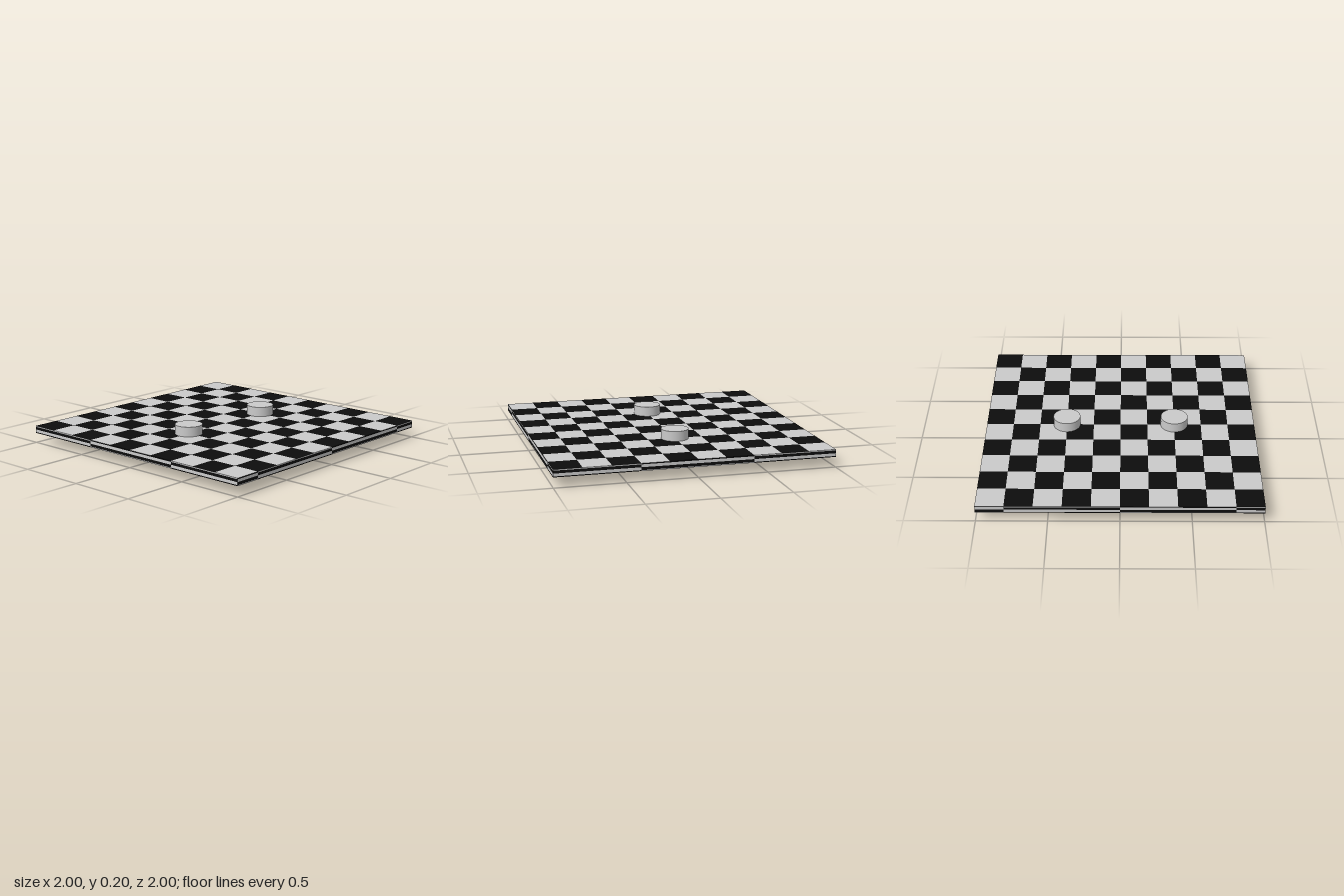
import * as THREE from 'three';
import { mergeGeometries } from 'three/addons/utils/BufferGeometryUtils.js';

const LOW = 0.0735, HIGH = 0.1275; // underside and top of the board
const PEG_RADIUS = 0.1, PEG_HEIGHT = 0.2;

// Checkered face: cells between the u and v cuts, sorted by parity into [dark, light]
function checkerFace(uCuts, vCuts, darkParity, place) {
  const cells = [[], []];
  for (let i = 0; i < uCuts.length - 1; i++) {
    for (let j = 0; j < vCuts.length - 1; j++) {
      const w = uCuts[i + 1] - uCuts[i], h = vCuts[j + 1] - vCuts[j];
      const cell = new THREE.PlaneGeometry(w, h);
      cell.translate(uCuts[i] + w / 2, vCuts[j] + h / 2, 0);
      place(cell);
      cells[(i + j) % 2 === darkParity ? 0 : 1].push(cell);
    }
  }
  return cells.map((list) => mergeGeometries(list));
}

export function createModel() {
  const model = new THREE.Group();
  model.name = 'checkeredBoard';
  const dark = new THREE.MeshStandardMaterial({ color: 0x0d0d0d });
  dark.name = 'black';
  const light = new THREE.MeshStandardMaterial({ color: 0xcacaca });
  light.name = 'lightGrey';

  const board = new THREE.Group();
  board.name = 'board';
  model.add(board);
  const addFace = (name, ...args) => {
    checkerFace(...args).forEach((geometry, k) => {
      const mesh = new THREE.Mesh(geometry, k === 0 ? dark : light);
      mesh.name = name + (k === 0 ? 'DarkCells' : 'LightCells');
      board.add(mesh);
    });
  };

  // Top and underside: ten by ten squares
  const squares = Array.from({ length: 11 }, (_, i) => -1 + i * 0.2);
  addFace('top', squares, squares, 1, (g) => g.rotateX(-Math.PI / 2).translate(0, HIGH, 0));
  addFace('underside', squares, squares, 0, (g) => g.rotateX(Math.PI / 2).translate(0, LOW, 0));

  // Edges: long, thin checks
  const rows = [LOW, 0.08, 0.1, 0.12, HIGH];
  const longCuts = [-1, -0.8, 0, 0.8, 1], sideCuts = [-1, -0.4, 0.4, 1];
  ['frontEdge', 'rightEdge', 'backEdge', 'leftEdge'].forEach((name, k) => {
    const isSide = k % 2 === 1;
    addFace(name, isSide ? sideCuts : longCuts, rows, isSide ? 0 : 1,
      (g) => g.translate(0, 0, 1).rotateY(k * Math.PI / 2));
  });

  // Round pegs passing through the board
  const pegGeometry = new THREE.CylinderGeometry(PEG_RADIUS, PEG_RADIUS, PEG_HEIGHT, 48);
  for (const side of [-1, 1]) {
    const peg = new THREE.Mesh(pegGeometry, light);
    peg.name = side > 0 ? 'leftPeg' : 'rightPeg';
    peg.position.set(side * 0.4, PEG_HEIGHT / 2, 0);
    model.add(peg);
  }
  return model;
}
